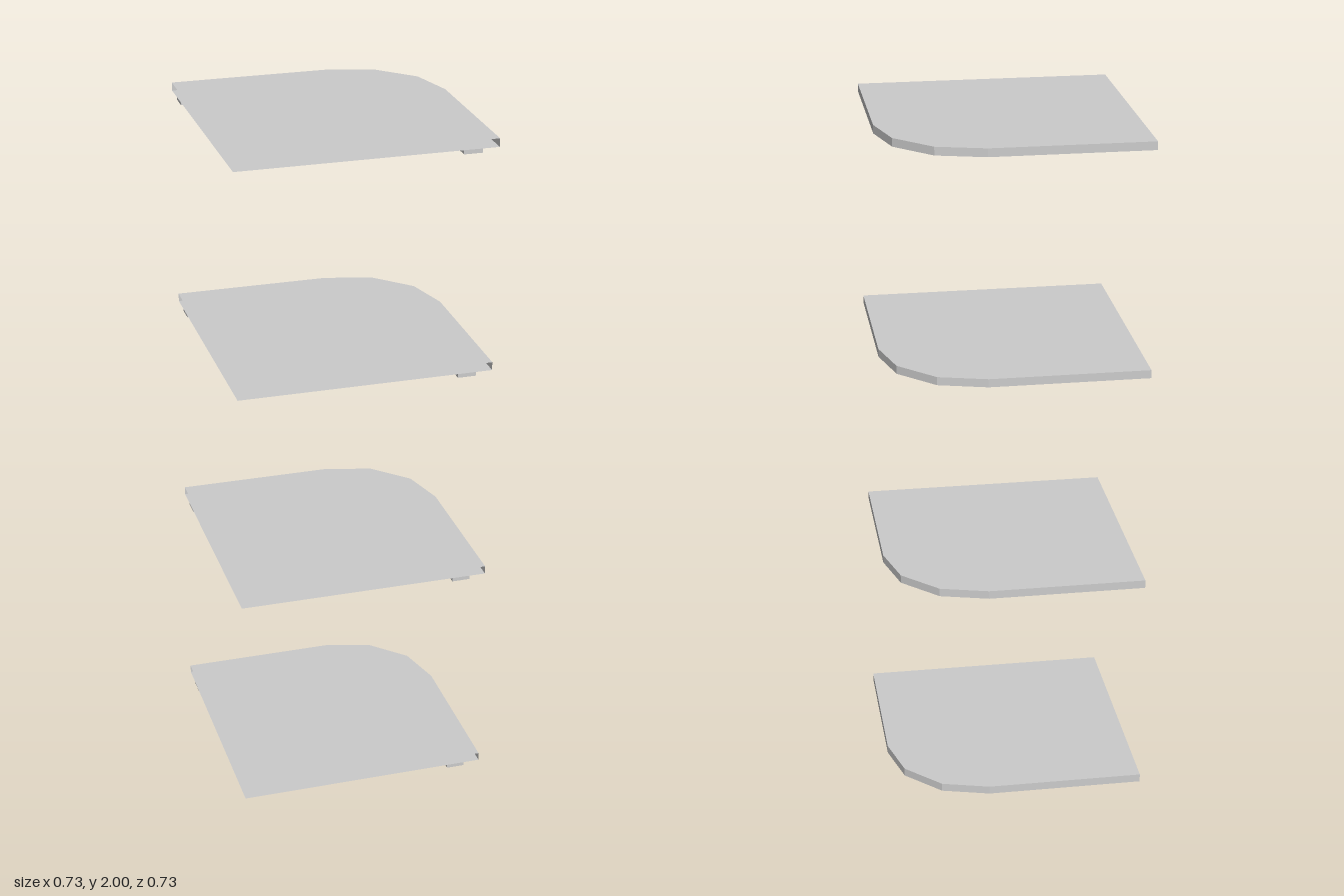
import * as THREE from 'three';

const HALF = 0.367;      // half width of a shelf
const RADIUS = 0.277;    // rounded back corner
const BOTTOM = 0.013, TOP = 0.037;
const PITCH = 0.6543;    // distance between shelves

const material = new THREE.MeshStandardMaterial({
  color: 0xcccccc, flatShading: true, side: THREE.DoubleSide,
});

function addMesh(parent, name, geometry, x = 0, y = 0, z = 0) {
  const mesh = new THREE.Mesh(geometry, material);
  mesh.name = name;
  mesh.position.set(x, y, z);
  parent.add(mesh);
}

// Closed edge as [x, z]: back left, around the faceted corner, to front right
function rimPoints() {
  const points = [[-HALF, -HALF]];
  const c = HALF - RADIUS;
  for (let i = 0; i <= 3; i++) {
    const a = (i / 3) * Math.PI / 2;
    points.push([c + RADIUS * Math.sin(a), -c - RADIUS * Math.cos(a)]);
  }
  points.push([HALF, HALF]);
  return points;
}

// Thin wall along the rim
function wallGeometry(points) {
  const position = [], index = [];
  points.forEach(([x, z], i) => {
    position.push(x, BOTTOM, z, x, TOP, z);
    if (i > 0) {
      const a = 2 * i - 2;
      index.push(a, a + 1, a + 2, a + 1, a + 3, a + 2);
    }
  });
  const geometry = new THREE.BufferGeometry();
  geometry.setAttribute('position', new THREE.Float32BufferAttribute(position, 3));
  geometry.setIndex(index);
  const flat = geometry.toNonIndexed();
  flat.computeVertexNormals();
  return flat;
}

export function createModel() {
  const model = new THREE.Group();
  model.name = 'shelfStack';

  const rim = rimPoints();
  const outline = new THREE.Shape([...rim, [-HALF, HALF]].map(([x, z]) => new THREE.Vector2(x, -z)));
  const topSheet = new THREE.ShapeGeometry(outline).rotateX(-Math.PI / 2);
  // The underside faces down
  const bottomSheet = topSheet.clone();
  const order = bottomSheet.index.array;
  for (let i = 0; i < order.length; i += 3) [order[i], order[i + 1]] = [order[i + 1], order[i]];
  bottomSheet.computeVertexNormals();
  const wall = wallGeometry(rim);
  const clip = new THREE.BoxGeometry(0.053, BOTTOM, 0.053);

  for (let i = 0; i < 4; i++) {
    const shelf = new THREE.Group();
    shelf.name = `shelf${i + 1}`;
    shelf.position.y = i * PITCH;
    addMesh(shelf, 'topSheet', topSheet, 0, TOP);
    addMesh(shelf, 'bottomSheet', bottomSheet, 0, BOTTOM);
    addMesh(shelf, 'rimWall', wall);
    // Small clips under the two open edges
    addMesh(shelf, 'frontClip', clip, 0.294, BOTTOM / 2, 0.337);
    addMesh(shelf, 'sideClip', clip, -0.337, BOTTOM / 2, -0.294);
    model.add(shelf);
  }
  return model;
}
